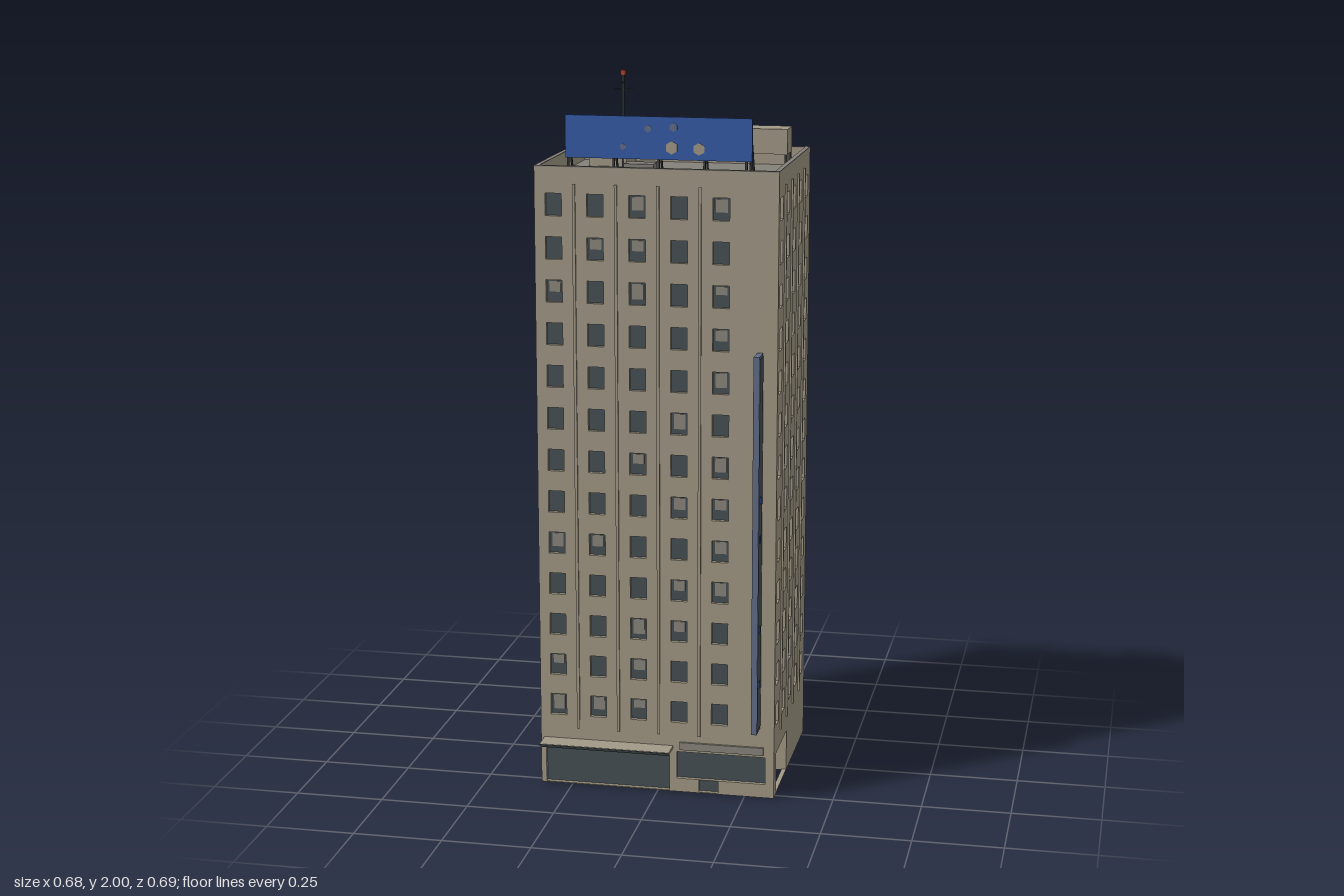
import * as THREE from 'three';
import { mergeGeometries } from 'three/addons/utils/BufferGeometryUtils.js';

const mat = (name, color, side = THREE.FrontSide) => {
  const m = new THREE.MeshStandardMaterial({ color, side });
  m.name = name;
  return m;
};

export function createModel() {
  const model = new THREE.Group();
  model.name = 'officeTower';
  const wall = mat('wallBeige', 0xa39a87);
  const roofGrey = mat('roofGrey', 0x85807a);
  const glass = mat('darkGlass', 0x465054, THREE.DoubleSide);
  const curtain = mat('curtainGrey', 0x8b877d);
  const metal = mat('darkMetal', 0x33393b);
  const blue = mat('signBlue', 0x335aa6);
  const slate = mat('slateBlue', 0x626d88);
  const red = mat('signalRed', 0xb2402f);

  const X0 = -0.34, X1 = 0.335, Z0 = -0.277, Z1 = 0.28;
  const TOP = 1.775, ROOF = 1.725, T = 0.013, ROWS = 13, STEP = 0.1195;

  // Box given by its lower and upper limits on each axis
  const boxGeo = (x0, x1, y0, y1, z0, z1) =>
    new THREE.BoxGeometry(x1 - x0, y1 - y0, z1 - z0)
      .translate((x0 + x1) / 2, (y0 + y1) / 2, (z0 + z1) / 2);
  const add = (name, geo, material, parent = model) => {
    const mesh = new THREE.Mesh(Array.isArray(geo) ? mergeGeometries(geo) : geo, material);
    mesh.name = name;
    parent.add(mesh);
    return mesh;
  };
  const box = (name, material, ...b) => add(name, boxGeo(...b), material);
  // Square bar between two points
  const barGeo = (a, b, w) => {
    const p = new THREE.Vector3(...a), q = new THREE.Vector3(...b), d = q.clone().sub(p);
    const g = new THREE.BoxGeometry(w, d.length(), w);
    g.applyQuaternion(new THREE.Quaternion().setFromUnitVectors(new THREE.Vector3(0, 1, 0), d.normalize()));
    return g.translate(...p.add(q).multiplyScalar(0.5).toArray());
  };
  let seed = 7;
  const rand = () => (seed = (seed * 16807) % 2147483647) / 2147483647;

  // One facade: pierced wall, recessed glazing, curtains and ribs; u runs along it, +z is outward
  function facade(name, u0, u1, cols, openings, ribs, angle, pos) {
    const g = new THREE.Group();
    g.name = name;
    g.rotation.y = angle;
    g.position.set(...pos);
    const shape = new THREE.Shape([[u0, 0], [u1, 0], [u1, TOP], [u0, TOP]].map(p => new THREE.Vector2(...p)));
    const panes = [], drapes = [];
    const hole = (a, b, c, d, glazed = true) => {
      shape.holes.push(new THREE.Path([[a, c], [a, d], [b, d], [b, c]].map(p => new THREE.Vector2(...p))));
      if (glazed) panes.push(new THREE.PlaneGeometry(b - a, d - c).translate((a + b) / 2, (c + d) / 2, -T + 0.001));
    };
    for (const u of cols) {
      for (let r = 0; r < ROWS; r++) {
        const y = 0.238 + r * STEP;
        hole(u - 0.023, u + 0.023, y - 0.031, y + 0.031);
        if (rand() < 0.4) {
          const h = 0.02 + 0.025 * rand();
          drapes.push(boxGeo(u - 0.016, u + 0.016, y + 0.026 - h, y + 0.026, -T + 0.001, -T + 0.003));
        }
      }
    }
    openings.forEach(o => hole(...o));
    add(name + 'Wall', new THREE.ExtrudeGeometry(shape, { depth: T, bevelEnabled: false }).translate(0, 0, -T), wall, g);
    add(name + 'Glass', panes, glass, g);
    if (drapes.length) add(name + 'Curtains', drapes, curtain, g);
    if (ribs) {
      const strips = cols.slice(1).map((u, i) => {
        const m = (u + cols[i]) / 2;
        return boxGeo(m - 0.004, m + 0.004, 0.17, 1.73, 0, 0.005);
      });
      add(name + 'Ribs', strips, wall, g);
    }
    model.add(g);
  }
  const xCols = [-0.287, -0.171, -0.054, 0.062, 0.178];
  const zCols = [0.23, 0.119, 0.008, -0.103, -0.214];
  facade('front', X0, X1, xCols, [
    [-0.325, 0.035, 0.003, 0.125],
    [0.056, 0.31, 0.04, 0.12],
    [0.12, 0.175, 0.003, 0.039],
  ], true, 0, [0, 0, Z1]);
  facade('back', -X1, -X0, xCols.map(x => -x), [], true, Math.PI, [0, 0, Z0]);
  facade('left', -Z1 + T, -Z0 - T, zCols.map(z => -z), [[-0.24, -0.055, 0.003, 0.122, false]],
    true, Math.PI / 2, [X1, 0, 0]);
  facade('right', Z0 + T, Z1 - T, [0], [], false, -Math.PI / 2, [X0, 0, 0]);

  // Recessed side entrance
  add('entranceSurround', [
    boxGeo(0.285, X1 - T, 0, 0.13, 0.045, 0.055),
    boxGeo(0.285, X1 - T, 0, 0.13, 0.24, 0.25),
    boxGeo(0.285, X1 - T, 0.122, 0.13, 0.055, 0.24),
  ], wall);
  box('entranceGlass', glass, 0.285, 0.29, 0, 0.122, 0.055, 0.24);

  // Shop canopy and the fascia beside it
  box('canopy', wall, -0.33, 0.045, 0.129, 0.137, Z1, 0.34);
  box('canopyEdge', metal, -0.33, 0.045, 0.129, 0.136, 0.34, 0.342);
  box('shopFascia', curtain, 0.065, 0.305, 0.128, 0.15, Z1, 0.287);

  // Roof deck and parapet coping
  box('roofDeck', roofGrey, X0 + T, X1 - T, ROOF - 0.01, ROOF, Z0 + T, Z1 - T);
  add('parapetCoping', [
    boxGeo(X0, X1, TOP, TOP + 0.003, Z1 - T, Z1),
    boxGeo(X0, X1, TOP, TOP + 0.003, Z0, Z0 + T),
    boxGeo(X0, X0 + T, TOP, TOP + 0.003, Z0 + T, Z1 - T),
    boxGeo(X1 - T, X1, TOP, TOP + 0.003, Z0 + T, Z1 - T),
  ], roofGrey);

  // Rooftop billboard with props
  box('billboard', blue, -0.26, 0.255, 1.797, 1.913, 0.233, 0.245);
  const props = [];
  for (const x of [-0.255, -0.128, -0.003, 0.123, 0.25]) {
    props.push(barGeo([x, ROOF, 0.235], [x, 1.9, 0.231], 0.006));
    props.push(barGeo([x, ROOF, 0.169], [x, 1.87, 0.231], 0.005));
  }
  add('billboardProps', props, metal);
  const spots = [[0.035, 1.83, 0.018], [0.11, 1.828, 0.017], [-0.1, 1.83, 0.009], [-0.03, 1.88, 0.01], [0.04, 1.885, 0.012]];
  spots.forEach(([x, y, r], i) => add('billboardSpot',
    new THREE.CylinderGeometry(r, r, 0.002, 6).rotateX(Math.PI / 2).translate(x, y, 0.246), i < 2 ? wall : slate));

  // Raised water tank
  box('waterTank', wall, 0.187, 0.308, 1.785, 1.855, -0.107, -0.025);
  const legs = [];
  for (const x of [0.192, 0.303]) for (const z of [-0.102, -0.03]) legs.push(barGeo([x, ROOF, z], [x, 1.785, z], 0.007));
  add('tankLegs', legs, metal);

  // Stair bulkhead with red markers round its top
  box('bulkhead', wall, -0.283, -0.173, ROOF, 1.823, -0.257, -0.13);
  box('bulkheadRoof', roofGrey, -0.284, -0.172, 1.823, 1.828, -0.258, -0.129);
  const marks = [];
  for (let i = 0; i < 4; i++) {
    const x = -0.281 + i * 0.031, z = -0.255 + i * 0.036;
    marks.push(boxGeo(x, x + 0.013, 1.805, 1.822, -0.259, -0.128));
    marks.push(boxGeo(-0.285, -0.171, 1.805, 1.822, z, z + 0.014));
  }
  add('bulkheadMarkers', marks, red);

  // Antenna mast
  add('antenna', [
    barGeo([-0.183, ROOF, -0.128], [-0.183, 1.99, -0.138], 0.006),
    barGeo([-0.211, 1.945, -0.138], [-0.155, 1.945, -0.138], 0.003),
    barGeo([-0.183, 1.965, -0.158], [-0.183, 1.965, -0.118], 0.003),
  ], metal);
  box('antennaLamp', red, -0.19, -0.176, 1.986, 2, -0.145, -0.131);

  // Low roof equipment and kerb blocks behind the tower
  box('roofUnit', roofGrey, -0.138, -0.053, ROOF, 1.76, 0.016, 0.066);
  add('roofVent', new THREE.CylinderGeometry(0.007, 0.007, 0.04, 12).translate(-0.037, ROOF + 0.02, 0.046), roofGrey);
  for (let i = 0; i < 3; i++) {
    const x = -0.1 + i * 0.04;
    box('roofCooler', wall, x, x + 0.034, ROOF, 1.755, 0.131, 0.146);
  }
  for (let i = 0; i < 4; i++) {
    const x = -0.052 + i * 0.039;
    box('rearBlock', wall, x, x + 0.033, 0, 0.025, -0.292, Z0);
  }

  // Vertical blade sign
  box('bladeSign', slate, 0.28, 0.296, 0.21, 1.285, 0.286, 0.345);
  for (const x of [0.279, 0.295]) box('bladeSignPanel', glass, x, x + 0.002, 0.218, 1.277, 0.288, 0.343);
  for (const y of [0.35, 0.51, 0.77, 0.88]) box('bladeSignSpot', blue, 0.278, 0.298, y - 0.01, y + 0.01, 0.31, 0.33);

  // Fire escape: landings, zigzag flights, rails and posts
  const slabs = [], rails = [], sx0 = 0.165, sx1 = 0.315, zo = -0.345, zi = -0.306;
  for (let i = -1; i < 12; i++) {
    const y0 = i < 0 ? 0 : 0.164 + i * STEP, y1 = 0.164 + (i + 1) * STEP;
    const dir = i % 2 === 0 ? 1 : -1, xa = 0.24 - dir * 0.05, xb = 0.24 + dir * 0.05;
    const len = Math.hypot(0.1, y1 - y0);
    slabs.push(new THREE.BoxGeometry(len, 0.01, zi - zo)
      .rotateZ(Math.atan2(y1 - y0, xb - xa)).translate(0.24, (y0 + y1) / 2, (zi + zo) / 2));
    slabs.push(boxGeo(sx0, sx1, y1 - 0.005, y1, zi, Z0));
    const end = dir > 0 ? [xb, sx1] : [sx0, xb];
    slabs.push(boxGeo(end[0], end[1], y1 - 0.005, y1, zo, zi));
    rails.push(barGeo([xa, y0 + 0.045, zo], [xb, y1 + 0.045, zo], 0.003));
    rails.push(barGeo([end[0], y1 + 0.045, zo], [end[1], y1 + 0.045, zo], 0.003));
  }
  slabs.push(boxGeo(sx0, sx1, 1.69, 1.697, -0.347, Z0));
  for (const x of [sx0 + 0.002, sx1 - 0.002]) rails.push(barGeo([x, 0, zo], [x, 1.69, zo], 0.004));
  add('fireEscapeFlights', slabs, wall);
  add('fireEscapeRails', rails, metal);

  return model;
}
